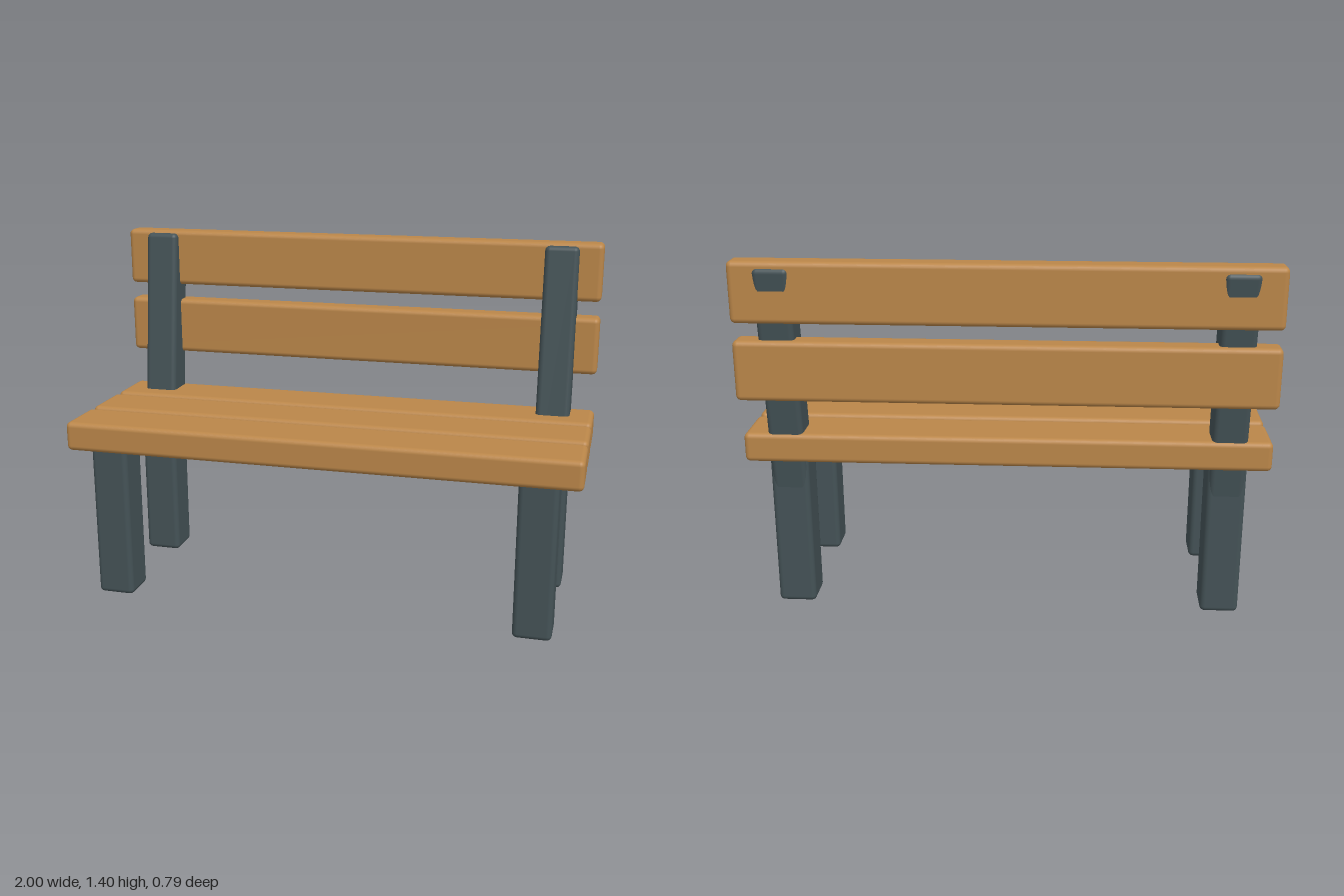
import * as THREE from 'three';
import { RoundedBoxGeometry } from 'three/addons/geometries/RoundedBoxGeometry.js';

export function createModel() {
  const bench = new THREE.Group();
  bench.name = 'bench';
  const wood = new THREE.MeshStandardMaterial({ color: 0xba8649 });
  const iron = new THREE.MeshStandardMaterial({ color: 0x445256 });

  function bar(name, material, [w, h, d], [x, y, z], radius = 0.02) {
    const mesh = new THREE.Mesh(new RoundedBoxGeometry(w, h, d, 3, radius), material);
    mesh.name = name;
    mesh.position.set(x, y, z);
    bench.add(mesh);
    return mesh;
  }

  // Seat planks, front to back
  [0.286, 0.039, -0.209].forEach((z, i) =>
    bar(`seatPlank${i + 1}`, wood, [2, 0.115, 0.222], [0, 0.668, z]));

  // Upright backrest planks
  [0.99, 1.285].forEach((y, i) =>
    bar(`backPlank${i + 1}`, wood, [2, 0.23, 0.096], [0, y, -0.333]));

  // Legs and leaning back posts, mirrored left and right
  for (const [side, s] of [['left', 1], ['right', -1]]) {
    bar(`${side}FrontLeg`, iron, [0.148, 0.65, 0.148], [s * 0.84, 0.325, 0.286]);
    bar(`${side}RearLeg`, iron, [0.148, 0.65, 0.148], [s * 0.84, 0.325, -0.209]);
    const post = bar(`${side}BackPost`, iron, [0.134, 0.93, 0.132], [s * 0.84, 0.922, -0.269]);
    post.rotation.x = THREE.MathUtils.degToRad(-7);
  }
  return bench;
}
